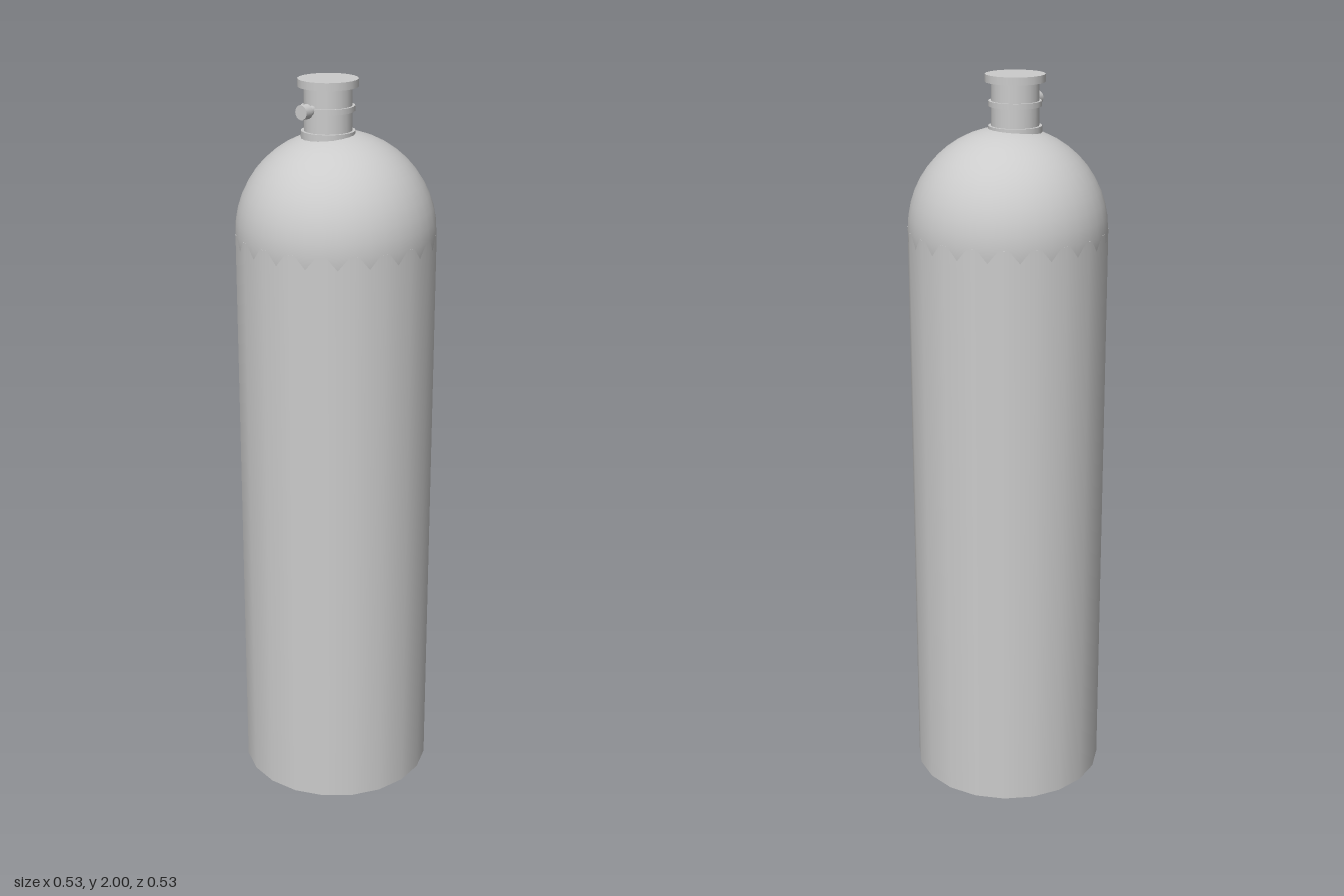
import * as THREE from 'three';

const SIDES = 20;

export function createModel() {
  const model = new THREE.Group();
  const grey = new THREE.MeshStandardMaterial({ color: 0xcccccc });

  const add = (parent, name, geometry, x = 0, y = 0, z = 0) => {
    const mesh = new THREE.Mesh(geometry, grey);
    mesh.name = name;
    mesh.position.set(x, y, z);
    parent.add(mesh);
    return mesh;
  };
  const drum = (r, h) => new THREE.CylinderGeometry(r, r, h, SIDES);

  // Tall tank with a domed shoulder that bulges just past its facets
  const tank = add(model, 'tankBody', drum(0.267, 1.6), 0, 0.8, 0);
  tank.rotation.y = Math.PI / SIDES;
  add(model, 'tankDome', new THREE.SphereGeometry(0.266, 40, 24), 0, 1.6, 0);

  // Valve, set slightly off the tank's axis and turned towards its outlet
  const valve = new THREE.Group();
  valve.name = 'valve';
  valve.position.set(-0.017, 0, 0.013);
  valve.rotation.y = -0.4;
  model.add(valve);
  add(valve, 'valveNeck', drum(0.063, 0.15), 0, 1.91, 0);
  add(valve, 'valveBaseCollar', drum(0.071, 0.03), 0, 1.853, 0);
  add(valve, 'valveMiddleRing', drum(0.07, 0.014), 0, 1.925, 0);
  add(valve, 'valveCap', drum(0.079, 0.02), 0, 1.99, 0);

  // Outlet: narrow stem with a wider round end
  const stem = add(valve, 'outletStem', new THREE.CylinderGeometry(0.012, 0.012, 0.05, 12), 0, 1.927, 0.07);
  const knob = add(valve, 'outletKnob', new THREE.CylinderGeometry(0.019, 0.019, 0.024, 16), 0, 1.927, 0.094);
  stem.rotation.x = knob.rotation.x = Math.PI / 2;

  return model;
}
